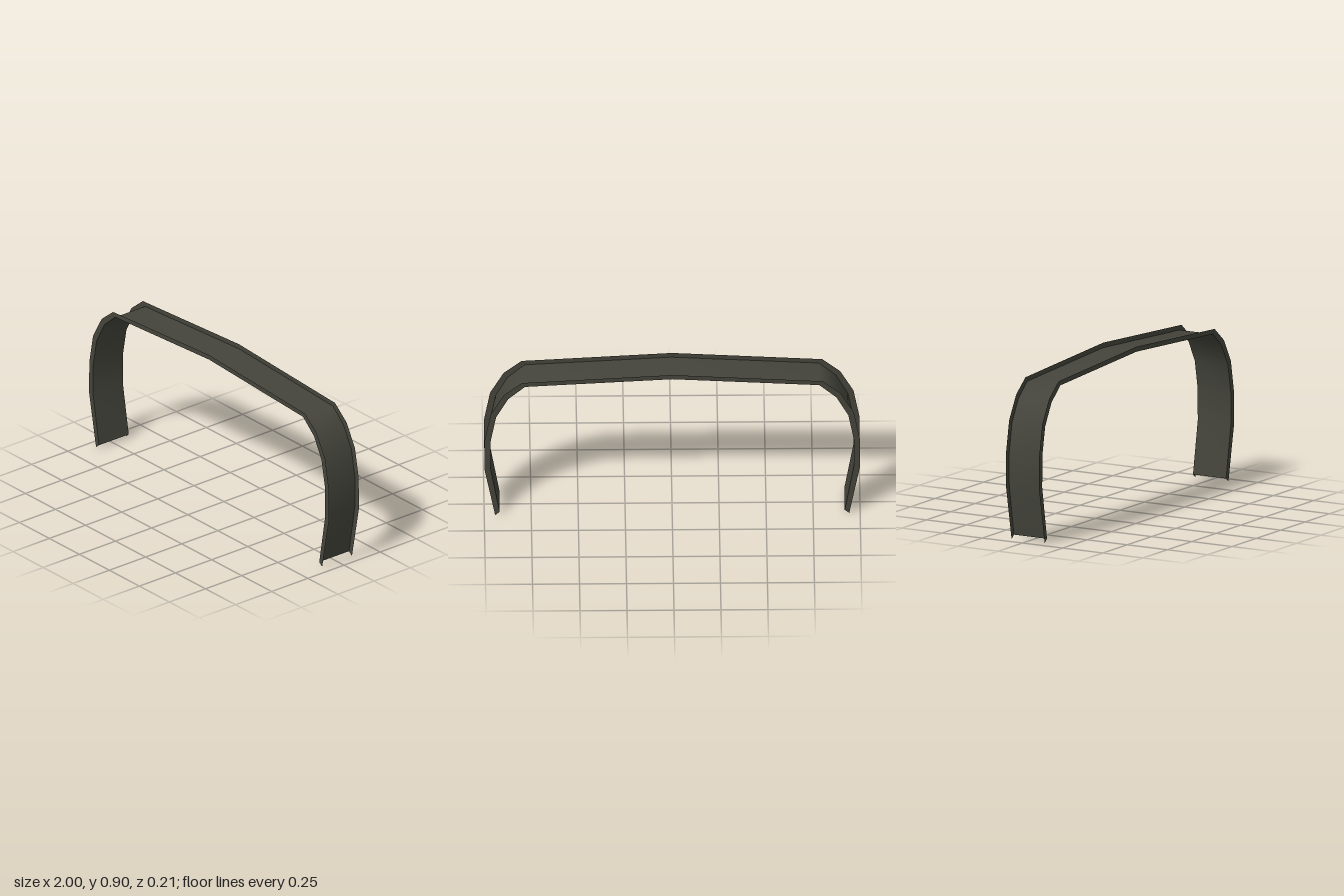
import * as THREE from 'three';

const HALF_DEPTH = 0.103;

// Half profile from foot to crown: [outer x, outer y, inner x, inner y]
const HALF = [
  [0.942, 0.0, 0.918, 0.02],
  [1.0, 0.302, 0.967, 0.305],
  [0.998, 0.483, 0.966, 0.478],
  [0.967, 0.65, 0.937, 0.633],
  [0.895, 0.777, 0.873, 0.75],
  [0.8, 0.854, 0.783, 0.829],
  [0, 0.9, 0, 0.873],
];

// Smooth sheet stretched between two matching rows of points
function strip(rowA, rowB) {
  const positions = [], index = [];
  rowA.forEach((a, i) => {
    positions.push(...a, ...rowB[i]);
    if (i > 0) {
      const k = 2 * i;
      index.push(k - 2, k - 1, k, k - 1, k + 1, k);
    }
  });
  const geometry = new THREE.BufferGeometry();
  geometry.setAttribute('position', new THREE.Float32BufferAttribute(positions, 3));
  geometry.setIndex(index);
  geometry.computeVertexNormals();
  return geometry;
}

export function createModel() {
  const group = new THREE.Group();
  group.name = 'archChannel';
  const darkOlive = new THREE.MeshStandardMaterial({ color: 0x44443c, side: THREE.DoubleSide });
  darkOlive.name = 'darkOlive';

  // Mirror the half profile into the full arch, from +x foot to -x foot
  const mirrored = HALF.slice(0, -1).reverse().map(([ox, oy, ix, iy]) => [-ox, oy, -ix, iy]);
  const profile = [...HALF, ...mirrored];
  const outer = (z) => profile.map((p) => [p[0], p[1], z]);
  const inner = (z) => profile.map((p) => [p[2], p[3], z]);

  const add = (name, rowA, rowB) => {
    const mesh = new THREE.Mesh(strip(rowA, rowB), darkOlive);
    mesh.name = name;
    group.add(mesh);
  };

  // Channel floor, with a thin lip standing outward along each edge
  add('web', inner(-HALF_DEPTH), inner(HALF_DEPTH));
  add('frontFlange', inner(HALF_DEPTH), outer(HALF_DEPTH));
  add('backFlange', outer(-HALF_DEPTH), inner(-HALF_DEPTH));
  return group;
}
